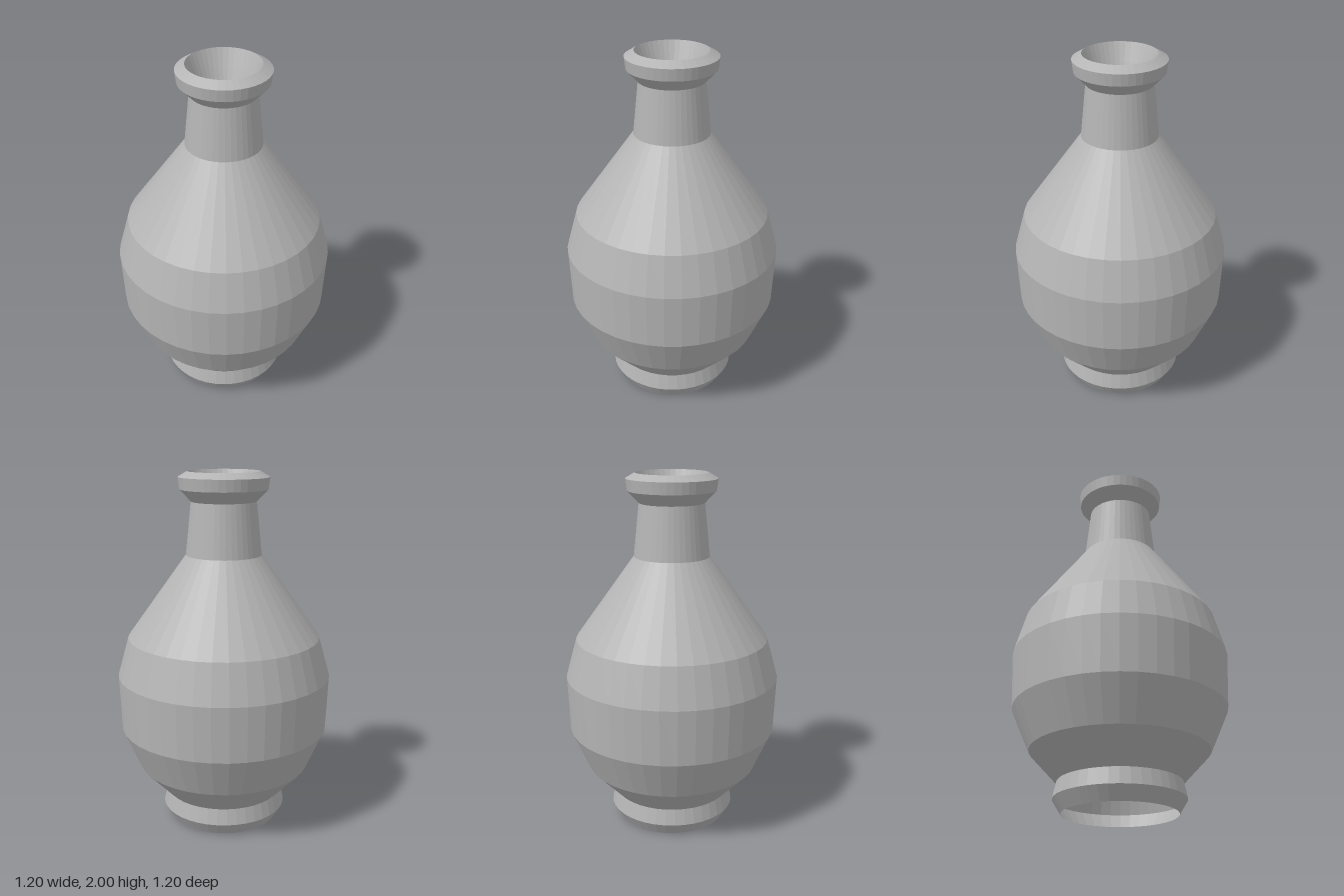
import * as THREE from 'three';

const SEGMENTS = 40;

// Hollow, faceted bottle turned from short profiles of [radius, height]
export function createModel() {
  const group = new THREE.Group();
  group.name = 'bottle';

  const clay = new THREE.MeshStandardMaterial({
    color: 0xb4b4b4, flatShading: true, side: THREE.DoubleSide,
  });
  clay.name = 'grey clay';

  function turned(name, profile) {
    const points = profile.map(([r, y]) => new THREE.Vector2(r, y));
    const mesh = new THREE.Mesh(new THREE.LatheGeometry(points, SEGMENTS), clay);
    mesh.name = name;
    group.add(mesh);
  }

  // Open foot ring
  turned('foot', [[0.31, 0], [0.356, 0.075], [0.336, 0.165]]);
  // Swelling belly and sloping shoulder
  turned('belly', [[0.336, 0.165], [0.49, 0.33], [0.59, 0.56], [0.602, 0.87], [0.54, 1.09]]);
  turned('shoulder', [[0.54, 1.09], [0.21, 1.55]]);
  // Tapered neck
  turned('neck', [[0.21, 1.55], [0.18, 1.84]]);
  // Flared lip, folding over into the mouth
  turned('lip', [[0.18, 1.84], [0.242, 1.905], [0.25, 1.97], [0.198, 2]]);
  turned('mouth', [[0.198, 2], [0.158, 1.9], [0.135, 1.84]]);

  return group;
}
